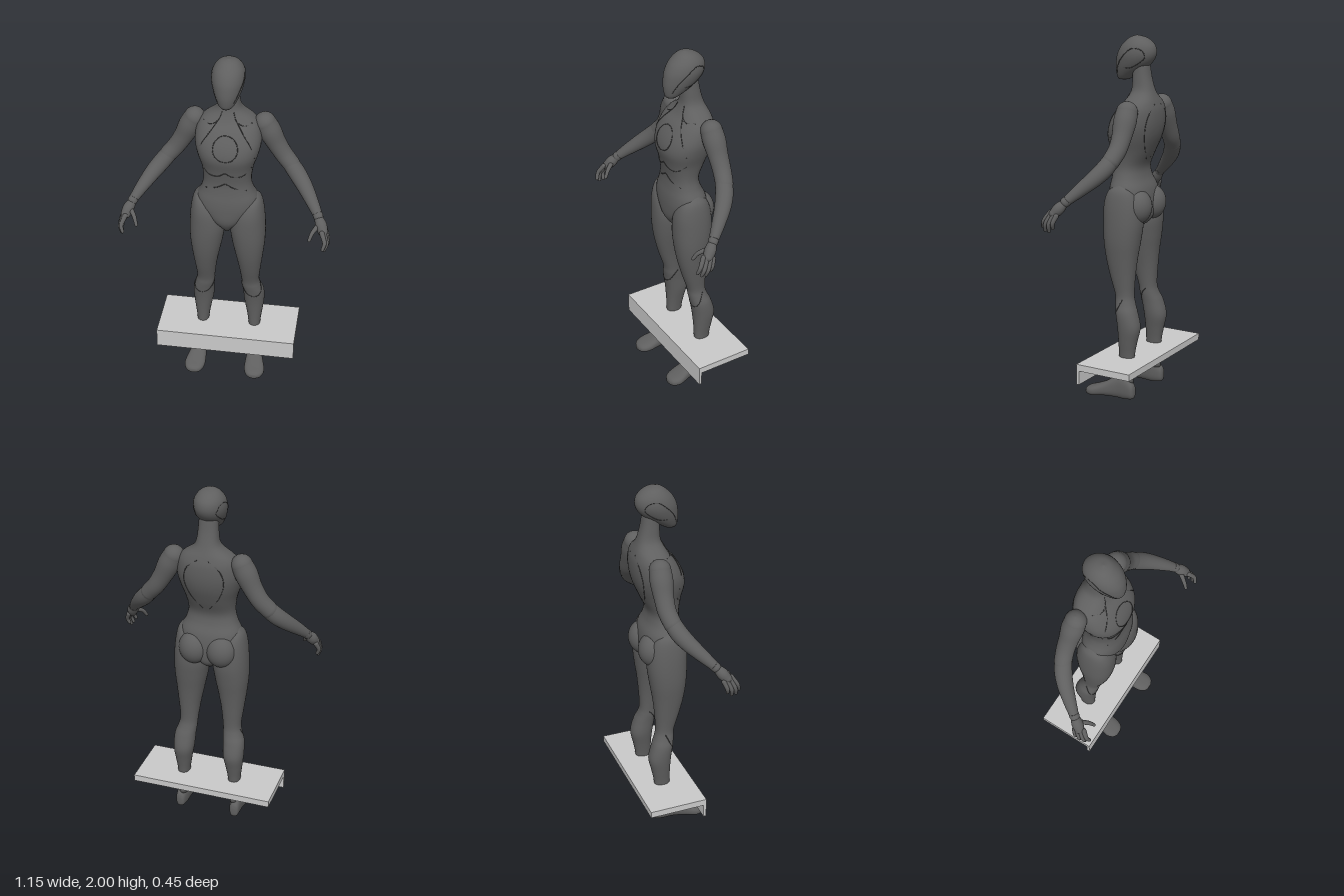
import * as THREE from 'three';
import { mergeGeometries } from 'three/addons/utils/BufferGeometryUtils.js';

const V = (x, y, z) => new THREE.Vector3(x, y, z);
const smooth = pts => new THREE.CatmullRomCurve3(pts, false, 'catmullrom', 0.5);
const spow = (v, p) => Math.sign(v) * Math.abs(v) ** p;

// Closed skin from a grid of rings; the end rows collapse to close it
function skin(rows, cols, point, flip) {
  const pos = [], idx = [];
  for (let i = 0; i <= rows; i++)
    for (let j = 0; j < cols; j++) pos.push(...point(i, (j / cols) * Math.PI * 2).toArray());
  for (let i = 0; i < rows; i++)
    for (let j = 0; j < cols; j++) {
      const a = i * cols + j, b = i * cols + (j + 1) % cols, c = a + cols, d = b + cols;
      idx.push(...(flip ? [a, d, b, a, c, d] : [a, b, d, a, d, c]));
    }
  const g = new THREE.BufferGeometry();
  g.setAttribute('position', new THREE.Float32BufferAttribute(pos, 3));
  g.setIndex(idx);
  g.computeVertexNormals();
  return g;
}

// Loft through sections [t, a0, a1, b0, b1]; t runs up (or along z when alongZ)
function loft(sections, n = 2, alongZ = false) {
  const A = smooth(sections.map(s => V(s[0], s[1], s[2])));
  const B = smooth(sections.map(s => V(s[3], s[4], 0)));
  const at = (u, th, k = 1) => {
    const p = A.getPoint(u), q = B.getPoint(u);
    const a = (p.y + p.z) / 2 + k * (p.z - p.y) / 2 * spow(Math.cos(th), 2 / n);
    const b = (q.x + q.y) / 2 + k * (q.y - q.x) / 2 * spow(Math.sin(th), 2 / n);
    return alongZ ? V(a, b, p.x) : V(a, p.x, b);
  };
  const rows = (sections.length - 1) * 5;
  const geometry = skin(rows + 2, 40, (i, th) =>
    at(Math.min(1, Math.max(0, (i - 1) / rows)), th, i === 0 || i === rows + 2 ? 0 : 1), !alongZ);
  // Point on the surface at a given height and angle
  const onSurface = (th, y) => {
    let lo = 0, hi = 1;
    for (let i = 0; i < 24; i++) {
      const m = (lo + hi) / 2;
      if (A.getPoint(m).x < y) lo = m; else hi = m;
    }
    return at(lo, th);
  };
  // Point on the front or back at a given x and height
  const onFace = (x, y, back) => {
    const hw = onSurface(0, y).x;
    const th = Math.acos(spow(Math.max(-1, Math.min(1, x / hw)), n / 2));
    return onSurface(back ? -th : th, y);
  };
  return { geometry, onSurface, onFace };
}

// Round limb through points [x, y, z, radius]
function limb(points, cols = 20) {
  const path = smooth(points.map(p => V(p[0], p[1], p[2])));
  const radius = smooth(points.map(p => V(p[3], 0, 0)));
  const rows = (points.length - 1) * 5, ref = V(0, 0, 1);
  const body = skin(rows, cols, (i, th) => {
    const u = i / rows, t = path.getTangent(u), r = radius.getPoint(u).x;
    const n = ref.clone().cross(t).normalize(), b = t.clone().cross(n);
    return path.getPoint(u).addScaledVector(n, r * Math.cos(th)).addScaledVector(b, r * Math.sin(th));
  });
  const ends = [points[0], points[points.length - 1]].map(p =>
    new THREE.SphereGeometry(p[3], cols, 12).deleteAttribute('uv').translate(p[0], p[1], p[2]));
  return mergeGeometries([body, ...ends]);
}

const ball = (rx, ry, rz, x, y, z) =>
  new THREE.SphereGeometry(1, 32, 20).scale(rx, ry, rz).translate(x, y, z);
const seam = (pts, closed = false) =>
  new THREE.TubeGeometry(new THREE.CatmullRomCurve3(pts, closed), 64, 0.0022, 5, closed);

function mirrored(geometry) {
  const g = geometry.clone().scale(-1, 1, 1), ix = g.index.array;
  for (let i = 0; i < ix.length; i += 3) [ix[i], ix[i + 1]] = [ix[i + 1], ix[i]];
  g.computeVertexNormals();
  return g;
}

export function createModel() {
  const model = new THREE.Group();
  const mat = (name, color) => Object.assign(new THREE.MeshStandardMaterial({ color }), { name });
  const bodyGrey = mat('body grey', 0x5f5f5f);
  const seamGrey = mat('seam grey', 0x454545);
  const boardGrey = mat('board grey', 0xcacaca);
  const add = (name, geometry, material = bodyGrey) => {
    const mesh = new THREE.Mesh(geometry, material);
    mesh.name = name;
    model.add(mesh);
  };
  const pair = (name, geometry, material) => {
    add(name + 'Left', geometry, material);
    add(name + 'Right', mirrored(geometry), material);
  };

  // Torso and neck: height, half width, front, back
  const torso = loft([
    [.955, .015, .02, -.06], [1.0, .05, .06, -.12], [1.05, .105, .085, -.135], [1.12, .165, .09, -.135],
    [1.18, .17, .087, -.125], [1.24, .143, .078, -.1], [1.3, .13, .075, -.095], [1.38, .14, .088, -.13],
    [1.46, .165, .105, -.162], [1.53, .178, .09, -.176], [1.6, .168, .05, -.176], [1.645, .14, .012, -.165],
    [1.685, .085, -.01, -.15], [1.72, .062, -.02, -.138], [1.78, .054, -.022, -.122], [1.85, .05, -.022, -.11],
  ].map(([y, w, f, b]) => [y, -w, w, b, f]), 2.3);
  add('torso', torso.geometry);
  pair('buttock', ball(.085, .095, .08, .078, 1.085, -.088));

  // Head
  const head = loft([
    [1.762, .028, .07, .01], [1.78, .045, .078, -.02], [1.82, .067, .083, -.085], [1.86, .081, .08, -.13],
    [1.9, .087, .071, -.15], [1.94, .081, .05, -.146], [1.97, .064, .022, -.122], [1.99, .04, -.005, -.088],
    [2.0, .004, -.036, -.044],
  ].map(([y, w, f, b]) => [y, -w, w, b, f]));
  add('head', head.geometry);
  pair('headSeam', seam([[.75, 1.8], [.6, 1.85], [.3, 1.9], [-.1, 1.935], [-.6, 1.925], [-.85, 1.89],
    [-.6, 1.85], [-.3, 1.83], [.1, 1.83]].map(p => head.onSurface(...p))), seamGrey);

  // Torso panel lines
  const circle = Array.from({ length: 24 }, (_, i) => {
    const a = i / 24 * Math.PI * 2;
    return torso.onFace(.066 * Math.cos(a), 1.53 + .066 * Math.sin(a));
  });
  add('chestRing', seam(circle, true), seamGrey);
  const line = (name, pts, back) => pair(name, seam(pts.map(p => torso.onFace(p[0], p[1], back))), seamGrey);
  line('ribSeam', [[0, 1.385], [.04, 1.36], [.09, 1.36], [.135, 1.4]]);
  line('waistSeam', [[0, 1.31], [.05, 1.28], [.11, 1.26]]);
  line('collarSeam', [[.03, 1.7], [.05, 1.655], [.09, 1.635], [.13, 1.64]]);
  line('chestSeam', [[.05, 1.655], [.09, 1.6], [.13, 1.54], [.15, 1.46]]);
  line('backSeam', [[.03, 1.64], [.09, 1.59], [.11, 1.52], [.08, 1.42], [.02, 1.34]], true);

  // Legs: height, inner x, outer x, back, front
  const leg = loft([
    [1.205, .145, .16, -.04, 0], [1.17, .085, .187, -.09, .055], [1.1, .035, .202, -.12, .084],
    [1.0, .014, .21, -.13, .09], [.9, .025, .21, -.12, .085], [.8, .045, .2, -.105, .07],
    [.7, .064, .188, -.095, .045], [.6, .077, .178, -.09, .014], [.55, .08, .188, -.1, .008],
    [.5, .085, .204, -.12, 0], [.42, .09, .206, -.14, -.012], [.34, .105, .197, -.125, -.018],
    [.27, .116, .188, -.112, -.02], [.18, .124, .183, -.106, -.02], [.1, .128, .182, -.105, -.015],
  ].reverse(), 2.2);
  pair('leg', leg.geometry);
  pair('kneeSeam', seam([[-.2, .58], [.5, .52], [1.1, .49], [1.57, .485], [2.1, .5], [2.8, .55],
    [3.3, .58]].map(p => leg.onSurface(...p))), seamGrey);

  // Feet: z, inner x, outer x, sole, top
  pair('foot', loft([
    [-.12, .15, .175, .03, .07], [-.108, .138, .19, .012, .1], [-.06, .128, .195, .004, .135],
    [-.01, .125, .2, .006, .13], [.06, .118, .222, .008, .09], [.12, .118, .236, .002, .064],
    [.16, .134, .222, .004, .05], [.176, .16, .196, .012, .036],
  ], 2.5, true).geometry);

  // Arms
  pair('upperArm', limb([
    [.188, 1.612, -.088, .058], [.215, 1.56, -.09, .061], [.25, 1.49, -.092, .053],
    [.29, 1.425, -.09, .049], [.335, 1.372, -.077, .047],
  ], 28));
  pair('forearm', limb([
    [.325, 1.382, -.08, .045], [.37, 1.33, -.055, .047], [.415, 1.28, -.015, .043],
    [.465, 1.22, .045, .034], [.503, 1.17, .095, .025],
  ], 28));
  pair('wristCuff', limb([[.497, 1.178, .087, .027], [.504, 1.168, .097, .027]]));

  // Hands
  pair('palm', limb([[.506, 1.162, .102, .023], [.522, 1.135, .125, .031], [.535, 1.108, .146, .027]]));
  const fingers = [
    [[.532, 1.112, .172], [.55, 1.07, .2], [.542, 1.034, .213]],
    [[.543, 1.102, .16], [.56, 1.055, .184], [.55, 1.018, .193]],
    [[.549, 1.097, .143], [.564, 1.052, .162], [.553, 1.016, .168]],
    [[.549, 1.1, .125], [.563, 1.062, .138], [.554, 1.034, .144]],
    [[.51, 1.135, .13], [.482, 1.11, .172], [.468, 1.075, .195]],
  ];
  fingers.forEach((f, i) => pair(i === 4 ? 'thumb' : 'finger' + (i + 1),
    limb(f.map((p, k) => [...p, [.014, .0115, .009][k]]), 12)));

  // Board around the shins with a front lip
  add('boardTop', new THREE.BoxGeometry(.806, .037, .33).translate(0, .2315, -.06), boardGrey);
  add('boardLip', new THREE.BoxGeometry(.806, .115, .016).translate(0, .1925, .0975), boardGrey);
  return model;
}
